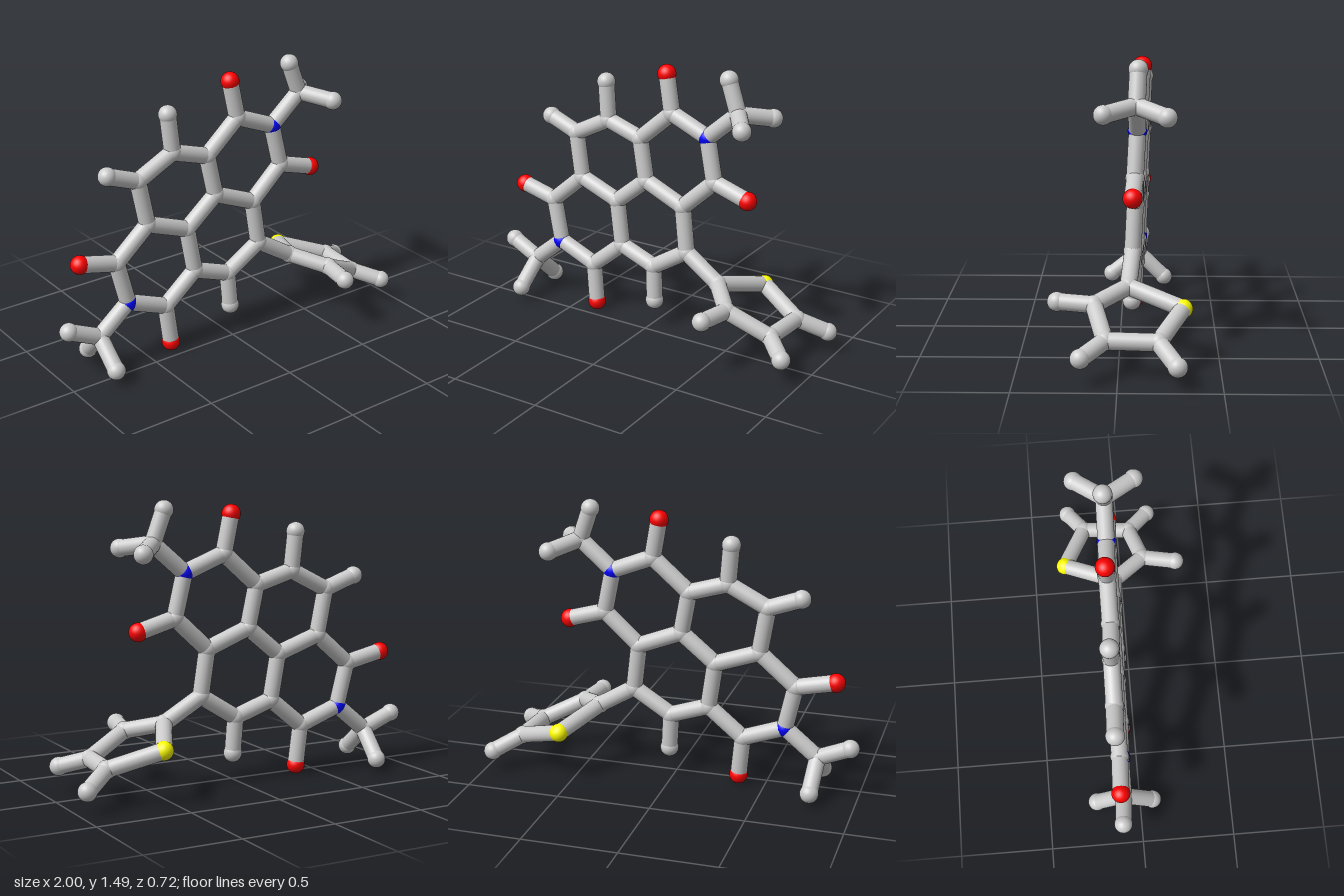
import * as THREE from 'three';

const BALL = 0.049, ROD = 0.044;
const COLORS = { C: 0xcccccc, H: 0xcccccc, N: 0x0000ff, O: 0xff0000, S: 0xffff00 };
const NAMES = { C: 'carbon', H: 'hydrogen', N: 'nitrogen', O: 'oxygen', S: 'sulfur' };

// depth of the slightly tilted plane holding the fused rings
const planeZ = (x, y) => -0.089 + 0.036 * (x + 0.15) - 0.042 * (y - 0.735);

// atoms: key (first letter is the element) -> [x, y, z]; z omitted = on the ring plane
const ATOMS = {
  // fused ring core
  C1: [-0.05, 0.818], C2: [-0.093, 1.043], C3: [-0.3, 1.107], C4: [-0.51, 1.0],
  C5: [-0.468, 0.754], C6: [-0.232, 0.668], C7: [-0.195, 0.422], C8: [0.013, 0.348],
  C9: [0.217, 0.476], C10: [0.185, 0.722],
  // upper and lower imide rings
  C11: [0.1, 1.212], N1: [0.32, 1.123], C12: [0.37, 0.893], O1: [0.062, 1.415], O2: [0.57, 0.834],
  C13: [-0.66, 0.588], N2: [-0.607, 0.353], C14: [-0.382, 0.267], O3: [-0.868, 0.636], O4: [-0.36, 0.05],
  // ring hydrogens
  H1: [-0.318, 1.313], H2: [-0.682, 1.064], H3: [0.024, 0.155],
  // methyl groups
  C15: [0.495, 1.275, -0.085], H4: [0.435, 1.443, -0.093], H5: [0.602, 1.247, 0.073], H6: [0.617, 1.237, -0.233],
  C16: [-0.783, 0.208, -0.09], H7: [-0.953, 0.283, -0.105], H8: [-0.785, 0.082, 0.067], H9: [-0.772, 0.067, -0.236],
  // five-sided side ring
  C17: [0.42, 0.35, -0.045], S1: [0.555, 0.277, -0.317], C18: [0.81, 0.187, -0.195], C19: [0.788, 0.187, 0.062],
  C20: [0.565, 0.298, 0.123], H10: [0.95, 0.113, -0.284], H11: [0.91, 0.138, 0.176], H12: [0.527, 0.302, 0.307],
};

// each chain is a run of bonded atoms
const CHAINS = [
  'C1 C2 C3 C4 C5 C6 C1', 'C6 C7 C8 C9 C10 C1',
  'C2 C11 N1 C12 C10', 'C5 C13 N2 C14 C7',
  'C11 O1', 'C12 O2', 'C13 O3', 'C14 O4', 'C3 H1', 'C4 H2', 'C8 H3',
  'N1 C15 H4', 'H5 C15 H6', 'N2 C16 H7', 'H8 C16 H9',
  'C9 C17 S1 C18 C19 C20 C17', 'C18 H10', 'C19 H11', 'C20 H12',
];

export function createModel() {
  const model = new THREE.Group();
  const atoms = new THREE.Group(), bonds = new THREE.Group();
  atoms.name = 'atoms';
  bonds.name = 'bonds';
  model.add(atoms, bonds);

  const materials = {};
  for (const e in COLORS) materials[e] = new THREE.MeshStandardMaterial({ color: COLORS[e] });
  const ball = new THREE.SphereGeometry(BALL, 24, 16);
  const rod = new THREE.CylinderGeometry(ROD, ROD, 1, 24, 1, true);

  // balls
  const points = {};
  for (const [key, [x, y, z = planeZ(x, y)]] of Object.entries(ATOMS)) {
    points[key] = new THREE.Vector3(x, y, z);
    const mesh = new THREE.Mesh(ball, materials[key[0]]);
    mesh.name = NAMES[key[0]] + key.slice(1);
    mesh.position.copy(points[key]);
    atoms.add(mesh);
  }

  // rods from centre to centre
  const up = new THREE.Vector3(0, 1, 0);
  for (const chain of CHAINS) {
    const keys = chain.split(' ');
    for (let i = 1; i < keys.length; i++) {
      const a = points[keys[i - 1]], b = points[keys[i]];
      const dir = b.clone().sub(a);
      const mesh = new THREE.Mesh(rod, materials.C);
      mesh.name = `bond${keys[i - 1]}to${keys[i]}`;
      mesh.scale.y = dir.length();
      mesh.position.copy(a).add(b).multiplyScalar(0.5);
      mesh.quaternion.setFromUnitVectors(up, dir.normalize());
      bonds.add(mesh);
    }
  }
  return model;
}
